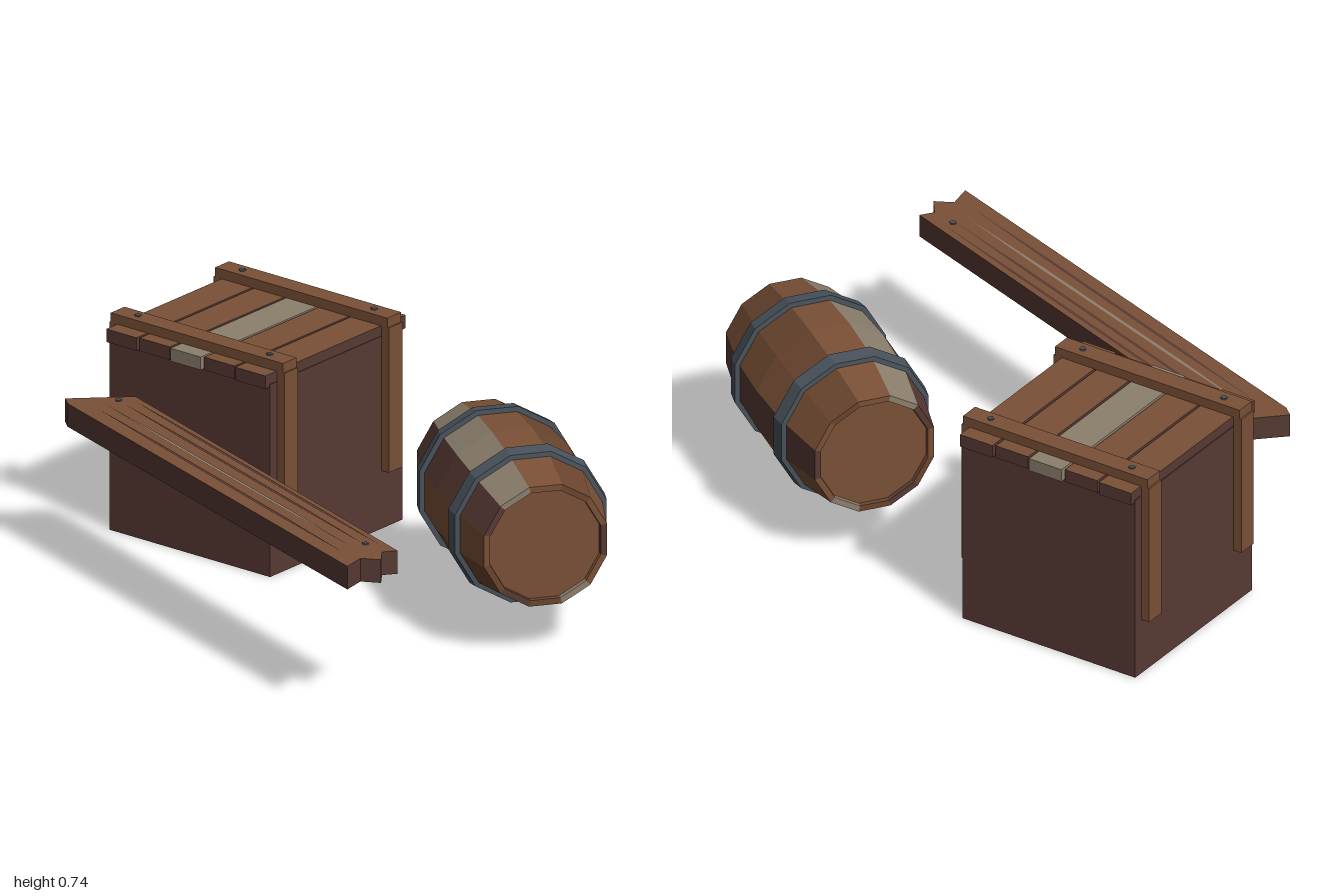
import * as THREE from 'three';

const material = (name, color) => {
  const m = new THREE.MeshStandardMaterial({ color, flatShading: true });
  m.name = name;
  return m;
};

export function createModel() {
  const brown = material('brown wood', 0x7a5036);
  const midBrown = material('mid brown wood', 0x6a452e);
  const dark = material('dark red wood', 0x583a34);
  const grey = material('weathered wood', 0x8c7f6d);
  const iron = material('iron', 0x48525b);

  const model = new THREE.Group();
  const add = (parent, name, geometry, mat, x = 0, y = 0, z = 0) => {
    const mesh = new THREE.Mesh(geometry, mat);
    mesh.name = name;
    mesh.position.set(x, y, z);
    parent.add(mesh);
    return mesh;
  };
  const group = (name) => {
    const g = new THREE.Group();
    g.name = name;
    model.add(g);
    return g;
  };
  const box = (w, h, d) => new THREE.BoxGeometry(w, h, d);
  const nail = () => new THREE.CylinderGeometry(0.011, 0.011, 0.008, 6);

  // Crate: box, lid planks, battens over the lid and down the sides
  const crate = group('crate');
  crate.position.set(-0.595, 0, -0.26);
  crate.rotation.y = THREE.MathUtils.degToRad(8);
  add(crate, 'crateBody', box(0.672, 0.665, 0.672), dark, 0, 0.3325, 0);
  const lengths = [0.71, 0.7, 0.714, 0.7, 0.712];
  lengths.forEach((len, i) => {
    const mats = i === 2 ? grey : [dark, dark, brown, brown, dark, dark];
    add(crate, 'lidPlank', box(0.126, 0.045, len), mats, (i - 2) * 0.135, 0.6775, 0);
  });
  for (const z of [-0.265, 0.265]) {
    add(crate, 'lidBatten', box(0.72, 0.034, 0.07), brown, 0, 0.716, z);
    for (const side of [-1, 1]) {
      add(crate, 'sideBatten', box(0.03, 0.5, 0.07), brown, side * 0.351, 0.45, z);
      add(crate, 'lidNail', nail(), iron, side * 0.275, 0.734, z);
    }
  }

  // Beam: notched outline seen from above, with grain lines on its top
  const beam = group('beam');
  const outline = [[-0.83, 0.36], [-0.79, 0.385], [0.9, 0.71], [0.875, 0.63],
    [0.93, 0.59], [0.88, 0.54], [0.905, 0.495], [-0.69, 0.18]];
  const flat = (points) => new THREE.Shape(points.map(([x, z]) => new THREE.Vector2(x, -z)));
  const beamGeo = new THREE.ExtrudeGeometry(flat(outline), { depth: 0.08, bevelEnabled: false });
  add(beam, 'beamBody', beamGeo.rotateX(-Math.PI / 2), [brown, dark], 0, 0.45, 0);
  const grain = [
    [-0.66, 0.212, 0.83, 0.505, dark], [-0.66, 0.255, 0.79, 0.538, dark],
    [-0.715, 0.3, 0.775, 0.583, grey], [-0.69, 0.347, 0.8, 0.638, dark],
  ];
  for (const [x0, z0, x1, z1, mat] of grain) {
    const at = (t, dz) => [x0 + (x1 - x0) * t, z0 + (z1 - z0) * t + dz];
    const sliver = flat([at(0, 0), at(0.25, 0.006), at(0.75, 0.006), at(1, 0), at(0.75, -0.006), at(0.25, -0.006)]);
    add(beam, 'beamGrain', new THREE.ShapeGeometry(sliver).rotateX(-Math.PI / 2), mat, 0, 0.532, 0);
  }
  add(beam, 'beamNail', nail(), iron, 0.79, 0.53, 0.53);
  add(beam, 'beamNail', nail(), iron, -0.7, 0.53, 0.245);

  // Barrel: built around its own axis (local y), local z is up
  const barrel = group('barrel');
  const tilt = THREE.MathUtils.degToRad(26.8);
  const c = Math.cos(tilt), s = Math.sin(tilt);
  barrel.quaternion.setFromRotationMatrix(new THREE.Matrix4().makeBasis(
    new THREE.Vector3(-s, 0, c), new THREE.Vector3(c, 0, s), new THREE.Vector3(0, 1, 0)));
  barrel.position.set(0.535, 0.373, -0.345);
  const profile = (points) => points.map(([r, y]) => new THREE.Vector2(r, y));
  const staveProfile = profile([[0.19, -0.38], [0.192, -0.4], [0.213, -0.4], [0.252, -0.2],
    [0.262, 0], [0.252, 0.2], [0.213, 0.4], [0.192, 0.4], [0.19, 0.38]]);

  // Staves, starting at the top and going round by the front
  const staves = [brown, grey, dark, brown, midBrown, dark, midBrown, grey, brown, dark, brown, midBrown];
  const step = Math.PI / 6;
  staves.forEach((mat, i) => {
    add(barrel, 'barrelStave', new THREE.LatheGeometry(staveProfile, 1, (i - 0.5) * step, step), mat);
  });
  add(barrel, 'barrelHeads', new THREE.CylinderGeometry(0.193, 0.193, 0.77, 12, 1, false, step / 2), brown);
  for (const y of [-0.2, 0.2]) {
    const k = Math.sign(y) * 0.004;
    const hoop = profile([[0.24, -0.028], [0.267 + k, -0.026], [0.267 - k, 0.026], [0.24, 0.028]]);
    add(barrel, 'barrelHoop', new THREE.LatheGeometry(hoop, 12, step / 2), iron, 0, y, 0);
  }
  return model;
}
